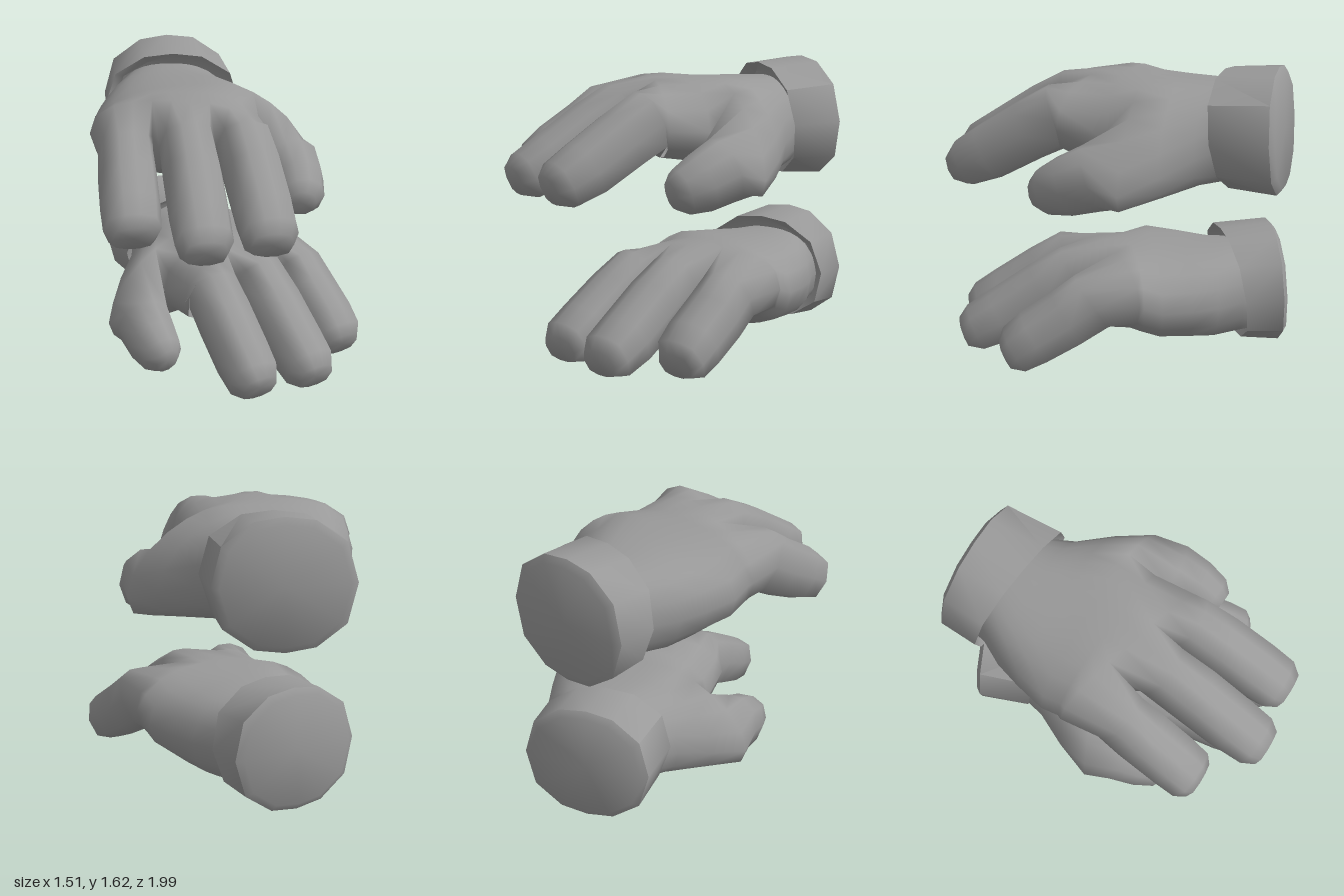
import * as THREE from 'three';
import { toCreasedNormals } from 'three/addons/utils/BufferGeometryUtils.js';

const material = new THREE.MeshStandardMaterial({ color: 0x999999 });
const FORWARD = new THREE.Vector3(0, 0, 1);

// Collects shared vertices so that fingers, thumb and palm form one skin.
// A loop has a top row and a bottom row (both from -x to +x) and a point on each side.
class Skin {
  points = [];
  index = [];

  add(p) {
    return this.points.push(p) - 1;
  }

  // Rounded section: skew shifts it along z across its width, lean along z with height,
  // droop lowers its -x side
  loop(n, [x, y, z, rx, ry], { power = 2.5, dir = FORWARD, skew = 0, lean = 0, droop = 0 } = {}) {
    const side = new THREE.Vector3(0, 1, 0).cross(dir).normalize();
    const up = dir.clone().cross(side);
    const point = (u, sign) => {
      const h = sign * ry * (1 - Math.abs(u) ** power) ** (1 / power);
      const p = new THREE.Vector3(x, y, z).addScaledVector(side, u * rx).addScaledVector(up, h);
      p.y -= droop * Math.max(0, -u - 0.2) ** 1.5;
      p.z += skew * u + lean * h;
      return this.add(p);
    };
    const row = sign => Array.from({ length: n + 1 }, (_, j) => point((2 * j / n - 1) * (1 - 0.6 / n), sign));
    return { top: row(1), right: point(1, 0), bottom: row(-1), left: point(-1, 0) };
  }

  flat({ top, right, bottom, left }) {
    return [...top, right, ...[...bottom].reverse(), left];
  }

  bridge(from, to) {
    const a = this.flat(from), b = this.flat(to);
    a.forEach((p, j) => {
      const k = (j + 1) % a.length;
      this.index.push(p, b[j], b[k], p, b[k], a[k]);
    });
    return to;
  }

  cap(loop, isStart) {
    const ids = this.flat(loop);
    const centre = new THREE.Vector3();
    ids.forEach(i => centre.addScaledVector(this.points[i], 1 / ids.length));
    const c = this.add(centre);
    ids.forEach((p, j) => {
      const q = ids[(j + 1) % ids.length];
      if (isStart) this.index.push(c, p, q);
      else this.index.push(c, q, p);
    });
  }

  // Divides a loop at column k with a web shared by both halves
  split({ top, right, bottom, left }, k) {
    const web = this.add(this.points[top[k]].clone().lerp(this.points[bottom[k]], 0.5));
    return [
      { top: top.slice(0, k + 1), right: web, bottom: bottom.slice(0, k + 1), left },
      { top: top.slice(k), right, bottom: bottom.slice(k), left: web },
    ];
  }

  // Grows a digit from a base loop along rings that face along their path
  digit(base, rings, power) {
    const centres = rings.map(r => new THREE.Vector3(r[0], r[1], r[2]));
    let loop = base;
    rings.forEach((ring, i) => {
      const dir = centres[Math.min(i + 1, rings.length - 1)].clone()
        .sub(centres[Math.max(i - 1, 0)]).normalize();
      loop = this.bridge(loop, this.loop(3, ring, { dir, power }));
    });
    this.cap(loop, false);
  }

  geometry() {
    const geometry = new THREE.BufferGeometry().setFromPoints(this.points);
    geometry.setIndex(this.index);
    return geometry;
  }
}

// Finger that runs forward from the knuckle and bends down to a blunt tip
function fingerRings(x0, x1, top, tipZ) {
  const s = tipZ / 0.97;
  return [
    [0, top - 0.185, 0.31 * s, 0.143, 0.168],
    [0.4, top - 0.275, 0.49 * s, 0.152, 0.16],
    [0.8, 0.225, 0.72 * s, 0.153, 0.15],
    [1, 0.16, 0.86 * s, 0.147, 0.128],
    [1, 0.135, 0.93 * s, 0.108, 0.078],
  ].map(([t, ...rest]) => [x0 + (x1 - x0) * t, ...rest]);
}

function handGeometry() {
  const skin = new Skin();

  // Wrist and back of the hand, widening to the root of the thumb
  let loop = skin.loop(12, [0.25, 0.36, -0.76, 0.28, 0.24], { power: 2.2 });
  skin.cap(loop, true);
  for (const [droop, ...ring] of [
    [0.02, 0.25, 0.36, -0.6, 0.315, 0.25],
    [0.1, 0.245, 0.36, -0.45, 0.405, 0.256],
    [0.2, 0.19, 0.367, -0.3, 0.51, 0.257],
    [0.31, 0.14, 0.38, -0.13, 0.605, 0.255],
  ]) loop = skin.bridge(loop, skin.loop(12, ring, { droop, power: 2.4 }));

  const [thumb, palm] = skin.split(loop, 3);
  skin.digit(thumb, [
    [-0.32, 0.205, 0.04, 0.16, 0.175],
    [-0.335, 0.155, 0.18, 0.147, 0.155],
    [-0.335, 0.12, 0.29, 0.125, 0.122],
    [-0.33, 0.105, 0.345, 0.075, 0.075],
  ], 2.2);

  // Knuckles, divided into three fingers
  loop = skin.bridge(palm, skin.loop(9, [0.285, 0.415, 0.0, 0.46, 0.225], { skew: -0.03, droop: 0.05 }));
  loop = skin.bridge(loop, skin.loop(9, [0.29, 0.43, 0.135, 0.47, 0.208], { skew: -0.14, droop: 0.04 }));
  const [indexFinger, others] = skin.split(loop, 3);
  const [middleFinger, littleFinger] = skin.split(others, 3);
  skin.digit(indexFinger, fingerRings(-0.01, -0.055, 0.63, 0.93), 2.9);
  skin.digit(middleFinger, fingerRings(0.285, 0.28, 0.64, 0.98), 2.9);
  skin.digit(littleFinger, fingerRings(0.595, 0.61, 0.6, 0.745), 2.9);
  return skin.geometry();
}

// Sleeve end with a folded front lip, longer on the thumb side, and a bevelled closed back
function cuffGeometry() {
  const skin = new Skin();
  const [back, ...rest] = [
    [-0.85, 0.325, 0.3, 0, 0.05],
    [-0.825, 0.365, 0.335, 0, 0.05],
    [-0.565, 0.38, 0.31, -0.045, 0.14],
    [-0.61, 0.32, 0.26, -0.045, 0.14],
  ].map(([z, rx, ry, skew, lean]) => skin.loop(4, [0.24, 0.375, z, rx, ry], { power: 2.3, skew, lean }));
  skin.cap(back, true);
  skin.cap(rest.reduce((from, to) => skin.bridge(from, to), back), false);
  return skin.geometry();
}

// Places both parts; a mirrored matrix also needs its triangles turned round
function buildGlove(name, matrix) {
  const glove = new THREE.Group();
  glove.name = name;
  const place = geometry => {
    geometry.applyMatrix4(matrix);
    if (matrix.determinant() < 0) geometry.setIndex([...geometry.index.array].reverse());
    return geometry;
  };
  const hand = new THREE.Mesh(place(handGeometry()), material);
  hand.geometry.computeVertexNormals();
  hand.name = 'hand';
  const cuff = new THREE.Mesh(toCreasedNormals(place(cuffGeometry()), 0.7), material);
  cuff.name = 'cuff';
  glove.add(hand, cuff);
  return glove;
}

export function createModel() {
  const model = new THREE.Group();
  model.name = 'pairOfGloves';

  // Lower glove points straight ahead, thumb towards -x
  model.add(buildGlove('lowerGlove', new THREE.Matrix4()));

  // Upper glove is a slightly larger mirror image, turned and raised
  const placement = new THREE.Matrix4().makeTranslation(0, 0.88, -0.045)
    .multiply(new THREE.Matrix4().makeScale(-1.05, 1.05, 1.05))
    .multiply(new THREE.Matrix4().makeRotationY(THREE.MathUtils.degToRad(21)))
    .multiply(new THREE.Matrix4().makeTranslation(-0.25, 0, 0.02));
  model.add(buildGlove('upperGlove', placement));

  return model;
}
